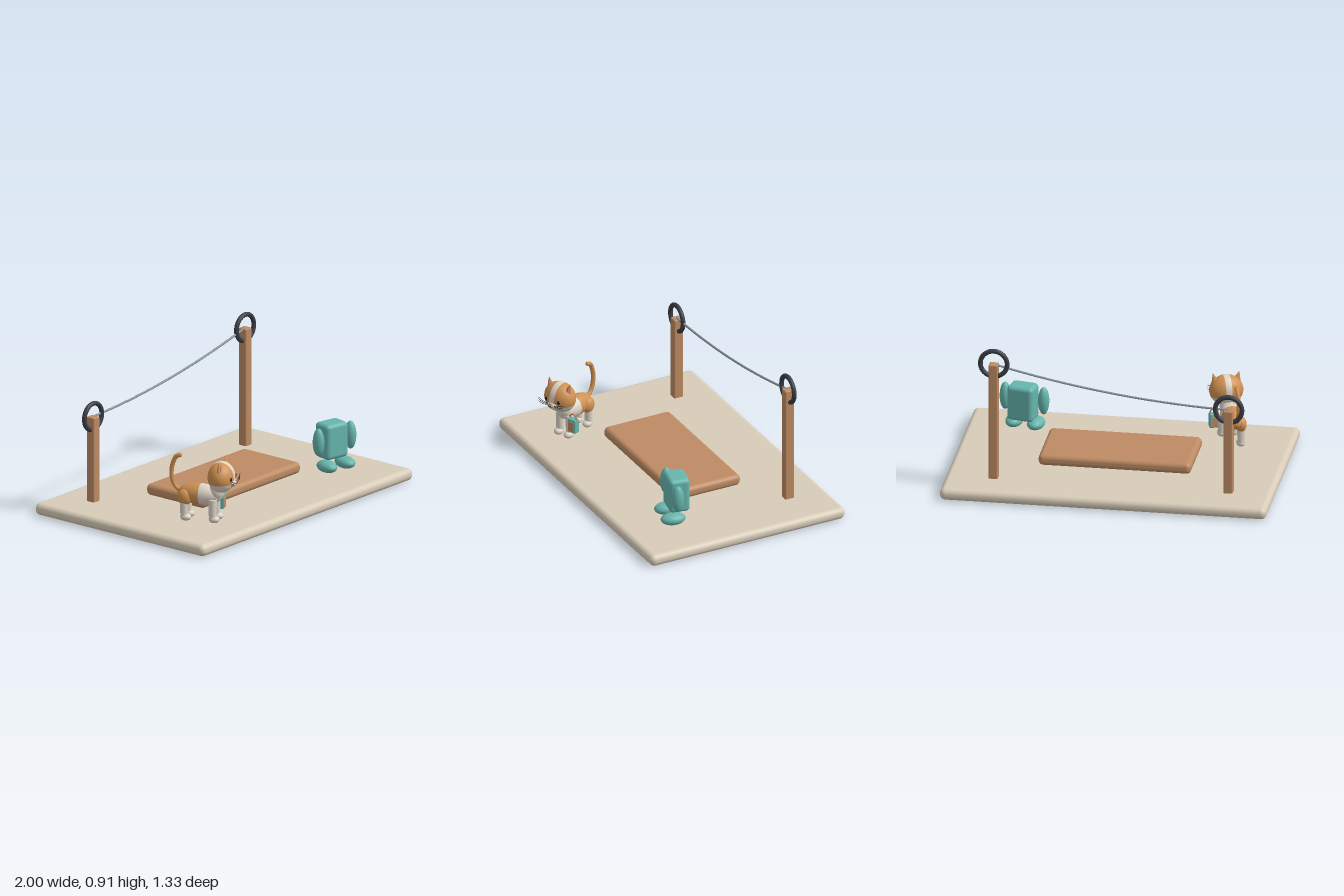
import * as THREE from 'three';
import { RoundedBoxGeometry } from 'three/addons/geometries/RoundedBoxGeometry.js';

const paint = (name, color) => {
  const m = new THREE.MeshStandardMaterial({ color });
  m.name = name;
  return m;
};

export function createModel() {
  const stone = paint('stone', 0xd8ccb8);
  const wood = paint('wood', 0xbd8b63);
  const iron = paint('iron', 0x3b3d45);
  const steel = paint('steel', 0x8a959b);
  const teal = paint('teal', 0x66b5ad);
  const ginger = paint('ginger', 0xcf9152);
  const cream = paint('cream', 0xddd4c7);
  const pink = paint('pink', 0xcf8590);
  const black = paint('black', 0x222226);

  const model = new THREE.Group();
  model.name = 'model';

  const add = (parent, name, geo, mat, x = 0, y = 0, z = 0) => {
    const mesh = new THREE.Mesh(geo, mat);
    mesh.name = name;
    mesh.position.set(x, y, z);
    parent.add(mesh);
    return mesh;
  };
  const box = (w, h, d, r) => new RoundedBoxGeometry(w, h, d, 4, r);
  const ball = (rx, ry, rz) => new THREE.SphereGeometry(1, 28, 20).scale(rx, ry, rz);
  const tube = (points, r, n = 24) => new THREE.TubeGeometry(
    new THREE.CatmullRomCurve3(points.map(p => new THREE.Vector3(...p))), n, r, 8);
  const group = (name, x, z, angle) => {
    const g = new THREE.Group();
    g.name = name;
    g.position.set(x, 0, z);
    g.rotation.y = angle;
    model.add(g);
    return g;
  };

  // Ground slab and low wooden platform
  add(model, 'base', box(2, 0.075, 1.333, 0.035), stone, 0, 0.0375, 0);
  add(model, 'platform', box(0.935, 0.072, 0.455, 0.03), wood, -0.002, 0.121, -0.002);

  // Two posts with rings, joined by a sagging cable
  for (const [x, top] of [[-0.733, 0.61], [0.705, 0.817]]) {
    add(model, 'post', box(0.056, top - 0.06, 0.06, 0.007), wood, x, (top + 0.06) / 2, -0.42);
    add(model, 'ring', new THREE.TorusGeometry(0.082, 0.0145, 14, 40), iron, x, top, -0.42);
  }
  const sag = new THREE.QuadraticBezierCurve3(
    new THREE.Vector3(-0.733, 0.61, -0.42),
    new THREE.Vector3(-0.014, 0.631, -0.42),
    new THREE.Vector3(0.705, 0.815, -0.42));
  add(model, 'cable', new THREE.TubeGeometry(sag, 40, 0.007, 8), steel);

  // Teal figure: block body, oval arms and feet
  const figure = group('figure', 0.645, 0.31, -0.2);
  add(figure, 'body', box(0.168, 0.222, 0.13, 0.026), teal, 0, 0.275, 0);
  for (const s of [-1, 1]) {
    add(figure, 'arm', ball(0.034, 0.088, 0.038), teal, s * 0.124, 0.285, 0.028);
    add(figure, 'foot', ball(0.052, 0.037, 0.077), teal, s * 0.07, 0.126, 0.042);
  }

  // Cat
  const cat = group('cat', -0.625, 0.345, 0.4);

  // Body: cream front, ginger rear
  const bodyPart = (start, length) => new THREE.SphereGeometry(1, 28, 20, 0, Math.PI * 2, start, length)
    .rotateX(Math.PI / 2).scale(0.063, 0.066, 0.142);
  add(cat, 'chest', bodyPart(0, 1.55), cream, 0, 0.25, -0.01);
  add(cat, 'rump', bodyPart(1.55, Math.PI - 1.55), ginger, 0, 0.25, -0.01);
  add(cat, 'neck', ball(0.048, 0.06, 0.045), cream, 0, 0.28, 0.095);

  // Legs, paws and haunches
  for (const s of [-1, 1]) {
    for (const z of [-0.1, 0.08]) {
      add(cat, 'leg', new THREE.CylinderGeometry(0.026, 0.023, 0.13, 16), cream, s * 0.038, 0.168, z);
      add(cat, 'paw', ball(0.028, 0.023, 0.034), cream, s * 0.038, 0.108, z + 0.01);
    }
    add(cat, 'haunch', ball(0.034, 0.05, 0.045), ginger, s * 0.037, 0.232, -0.097);
  }

  // Tail
  add(cat, 'tail', tube([[0, 0.26, -0.13], [0, 0.29, -0.17], [0, 0.36, -0.191], [0, 0.43, -0.182],
    [0, 0.475, -0.16], [0, 0.485, -0.138]], 0.014, 32), ginger);
  add(cat, 'tailTip', ball(0.014, 0.014, 0.014), ginger, 0, 0.485, -0.138);

  // Head: ginger cap, cream jaw and a cream stripe over the crown
  const head = new THREE.Group();
  head.name = 'head';
  head.position.set(0, 0.37, 0.125);
  cat.add(head);
  const R = [0.105, 0.096, 0.083];
  const split = 1.9;
  const cap = (start, length) =>
    new THREE.SphereGeometry(1, 32, 20, 0, Math.PI * 2, start, length).scale(...R);
  add(head, 'cap', cap(0, split), ginger);
  add(head, 'jaw', cap(split, Math.PI - split), cream);
  add(head, 'stripe', new THREE.SphereGeometry(1.015, 32, 6, 1.25, 3.8, Math.PI / 2 - 0.18, 0.36)
    .rotateZ(Math.PI / 2).scale(...R), cream);
  add(head, 'muzzle', ball(0.036, 0.024, 0.022), cream, 0, -0.03, 0.073);

  // Face
  const faceZ = (x, y) => R[2] * Math.sqrt(1 - (x / R[0]) ** 2 - (y / R[1]) ** 2);
  add(head, 'nose', ball(0.009, 0.006, 0.006), pink, 0, -0.013, 0.093);
  for (const s of [-1, 1]) {
    add(head, 'eye', ball(0.01, 0.013, 0.005), black, s * 0.047, 0.002, faceZ(0.047, 0.002));
    add(head, 'mouth', tube([[0, -0.022, 0.095], [s * 0.008, -0.032, 0.095], [s * 0.018, -0.027, 0.093]],
      0.0018, 8), black);
    for (const k of [-1, 0, 1]) {
      add(head, 'whisker', tube([[s * 0.026, -0.024 + k * 0.005, 0.088],
        [s * 0.06, -0.02 + k * 0.009, 0.092], [s * 0.095, -0.012 + k * 0.013, 0.088]], 0.0014, 6), black);
    }
    // Ears with pink linings
    const ear = new THREE.Group();
    ear.name = 'ear';
    ear.position.set(s * 0.073, 0.08, 0.005);
    ear.rotation.z = -s * 0.28;
    head.add(ear);
    add(ear, 'earShell', new THREE.ConeGeometry(0.03, 0.07, 20).scale(1, 1, 0.6), ginger);
    add(ear, 'earLining', new THREE.ConeGeometry(0.02, 0.05, 16).scale(1, 1, 0.5), pink, 0, -0.004, 0.011);
  }

  // Small teal pail with a wooden panel and a hoop handle
  const bag = new THREE.Group();
  bag.name = 'bag';
  bag.position.set(0.082, 0.19, 0.1);
  cat.add(bag);
  add(bag, 'bagBody', box(0.06, 0.09, 0.04, 0.006), teal);
  for (const s of [-1, 1]) {
    add(bag, 'bagPanel', box(0.044, 0.066, 0.006, 0.002), wood, 0, -0.005, s * 0.02);
  }
  add(bag, 'bagHandle', new THREE.TorusGeometry(0.024, 0.005, 10, 24, Math.PI), wood, 0, 0.05, 0);
  for (const s of [-1, 1]) {
    add(bag, 'handlePost', new THREE.CylinderGeometry(0.005, 0.005, 0.02, 10), wood, s * 0.024, 0.042, 0);
  }

  return model;
}
